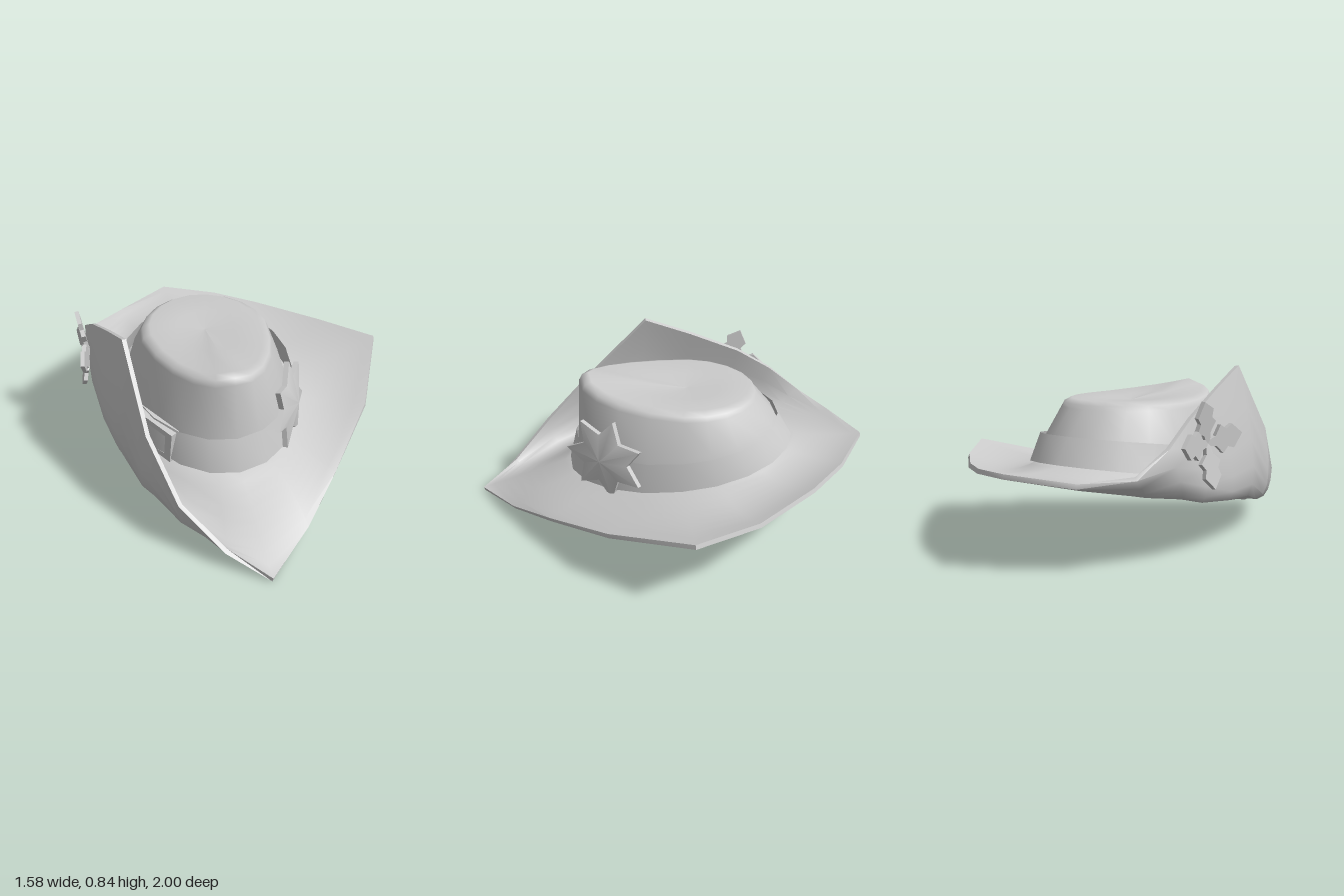
import * as THREE from 'three';
import { toCreasedNormals } from 'three/addons/utils/BufferGeometryUtils.js';

const V = (x, y, z) => new THREE.Vector3(x, y, z);
const material = new THREE.MeshStandardMaterial({ color: 0xcccccc, side: THREE.DoubleSide });

function addMesh(parent, name, geometry) {
  const mesh = new THREE.Mesh(geometry, material);
  mesh.name = name;
  parent.add(mesh);
  return mesh;
}

// Skin over closed cross-sections that all have the same number of points
function loft(rings, crease) {
  const n = rings[0].length;
  const index = [];
  for (let r = 0; r < rings.length - 1; r++) {
    for (let i = 0; i < n; i++) {
      const a = r * n + i, b = r * n + (i + 1) % n;
      index.push(a, b, a + n, b, b + n, a + n);
    }
  }
  const g = new THREE.BufferGeometry().setFromPoints(rings.flat());
  g.setIndex(index);
  g.computeVertexNormals();
  return crease ? toCreasedNormals(g, crease) : g;
}

// Egg-shaped crown outline: half width, reach to front and back,
// heights at front and back, extra height at the front point
const CX = -0.165, CZ = -0.1;
function eggPoint(t, w, front, back, yFront, yBack, peak = 0) {
  const s = Math.sin(t), c = Math.cos(t);
  const z = CZ + c * (c > 0 ? front : back);
  const k = (z - CZ + back) / (front + back);
  const y = yBack + (yFront - yBack) * k + (c > 0 ? peak * (1 - Math.abs(s)) : 0);
  const narrow = peak && c > 0 ? 1 - 0.12 * c : 1;
  return V(CX + w * s * narrow, y, z);
}
function eggRing(...args) {
  return Array.from({ length: 20 }, (_, i) => eggPoint(i / 20 * Math.PI * 2, ...args));
}

// Brim stations, anticlockwise from the front tip: rim x, y, z, then mid-brim x, y, z
const BRIM = [
  [-0.16, 0.015, 0.995, -0.16, 0.12, 0.74],
  [0.08, 0.07, 0.78, 0.05, 0.165, 0.62],
  [0.30, 0.16, 0.55, 0.20, 0.205, 0.42],
  [0.58, 0.285, 0.23, 0.40, 0.27, 0.12],
  [0.79, 0.40, -0.18, 0.52, 0.34, -0.15],
  [0.58, 0.375, -0.47, 0.40, 0.325, -0.36],
  [0.30, 0.385, -0.73, 0.20, 0.345, -0.58],
  [0.09, 0.40, -0.88, 0.00, 0.375, -0.74],
  [-0.18, 0.42, -0.995, -0.18, 0.40, -0.82],
  [-0.46, 0.39, -0.86, -0.42, 0.365, -0.71],
  [-0.645, 0.42, -0.70, -0.58, 0.32, -0.54],
  [-0.69, 0.53, -0.54, -0.675, 0.31, -0.41],
  [-0.675, 0.64, -0.36, -0.70, 0.29, -0.28],
  [-0.64, 0.75, -0.10, -0.70, 0.28, -0.05],
  [-0.605, 0.84, 0.14, -0.68, 0.28, 0.16],
  [-0.58, 0.51, 0.45, -0.605, 0.19, 0.40],
  [-0.495, 0.27, 0.68, -0.465, 0.12, 0.60],
  [-0.33, 0.10, 0.85, -0.30, 0.09, 0.72],
];

// Brim: each station curves from the crown base through mid-brim to the rim,
// then the sheet is thickened along its normals
function makeBrim(hat) {
  const steps = 8;
  const spokes = BRIM.map(([x, y, z, mx, my, mz]) => {
    const t = Math.atan2((mx - CX) / 0.4, (mz - CZ) / (mz > CZ ? 0.57 : 0.5));
    const inner = eggPoint(t, 0.4, 0.57, 0.5, 0.24, 0.41);
    const rim = V(x, y, z);
    const control = V(mx, my, mz).multiplyScalar(2)
      .addScaledVector(inner, -0.5).addScaledVector(rim, -0.5);
    return new THREE.QuadraticBezierCurve3(rim, control, inner).getPoints(steps);
  });
  const rings = [];
  for (let r = 0; r <= steps; r++) rings.push(spokes.map(p => p[r]));
  rings.push(spokes.map(() => V(CX, 0.33, CZ)));

  const normals = loft(rings).attributes.normal;
  const layer = distance => rings.map((ring, r) => ring.map((p, i) =>
    p.clone().addScaledVector(V(0, 0, 0).fromBufferAttribute(normals, r * ring.length + i), distance)));
  addMesh(hat, 'brim', loft([...layer(-0.011).reverse(), ...layer(0.011)], 1.1));
}

function makeCrown(hat) {
  addMesh(hat, 'crown', loft([
    eggRing(0.40, 0.575, 0.50, 0.25, 0.425),
    eggRing(0.38, 0.56, 0.45, 0.41, 0.54),
    eggRing(0.32, 0.545, 0.355, 0.65, 0.65, 0.05),
    eggRing(0.308, 0.53, 0.345, 0.68, 0.67, 0.05),
    eggRing(0.27, 0.495, 0.315, 0.69, 0.69, 0.055),
    eggRing(0.14, 0.25, 0.16, 0.68, 0.68, 0.02),
    eggRing(0, 0, 0.0001, 0.672, 0.672),
  ]));
  // Band stands slightly off the crown at the sides
  addMesh(hat, 'hatBand', loft([
    eggRing(0.445, 0.61, 0.54, 0.245, 0.42),
    eggRing(0.425, 0.57, 0.465, 0.415, 0.54),
  ]));
}

// Seven-pointed star with a raised middle, a little wider than tall
function makeStar(hat) {
  const outline = z => Array.from({ length: 14 }, (_, i) => {
    const a = 1.4 + i / 14 * Math.PI * 2, r = i % 2 ? 0.125 : 0.21;
    return V(1.12 * r * Math.cos(a), r * Math.sin(a), z);
  });
  const point = z => outline(z).map(() => V(0, 0, z));
  const star = addMesh(hat, 'starOrnament',
    loft([point(0), outline(0), outline(0.025), point(0.065)], 0.7));
  star.position.set(0.135, 0.43, 0.28);
  star.rotation.set(-0.12, Math.atan2(0.86, 0.54), 0, 'YXZ');
}

function polygon(points) {
  return new THREE.Shape(points.map(([x, y]) => new THREE.Vector2(x, y)));
}

// Rectangular buckle frame, tilted to follow the band
function makeBuckle(hat) {
  const frame = polygon([[-0.13, -0.085], [0.13, -0.085], [0.13, 0.085], [-0.13, 0.085]]);
  frame.holes.push(polygon([[-0.09, -0.055], [-0.09, 0.055], [0.09, 0.055], [0.09, -0.055]]));
  const buckle = addMesh(hat, 'buckle',
    new THREE.ExtrudeGeometry(frame, { depth: 0.05, bevelEnabled: false }));
  buckle.position.set(-0.485, 0.35, 0.22);
  buckle.rotation.set(0, Math.atan2(-0.85, 0.52), -0.13, 'YXZ');
}

// Cluster of pointed leaves pinned outside the turned-up brim
function makeLeaves(hat) {
  const half = [[0.012, 0], [0.022, 0.05], [0.065, 0.085], [0.04, 0.115], [0.055, 0.15]];
  const shape = polygon([...half, [0, 0.205], ...half.map(([x, y]) => [-x, y]).reverse()]);
  const geometry = new THREE.ExtrudeGeometry(shape, { depth: 0.02, bevelEnabled: false });
  const cluster = new THREE.Group();
  cluster.name = 'leafCluster';
  for (const angle of [-1.4, 0.35, 1.57, 3.2]) {
    const leaf = addMesh(cluster, 'leaf', geometry);
    leaf.rotation.set(0.18, 0, angle, 'ZXY');
  }
  cluster.position.set(-0.715, 0.53, -0.3);
  cluster.rotation.y = -Math.PI / 2 - 0.1;
  hat.add(cluster);
}

export function createModel() {
  const hat = new THREE.Group();
  hat.name = 'hat';
  makeBrim(hat);
  makeCrown(hat);
  makeStar(hat);
  makeBuckle(hat);
  makeLeaves(hat);
  return hat;
}
